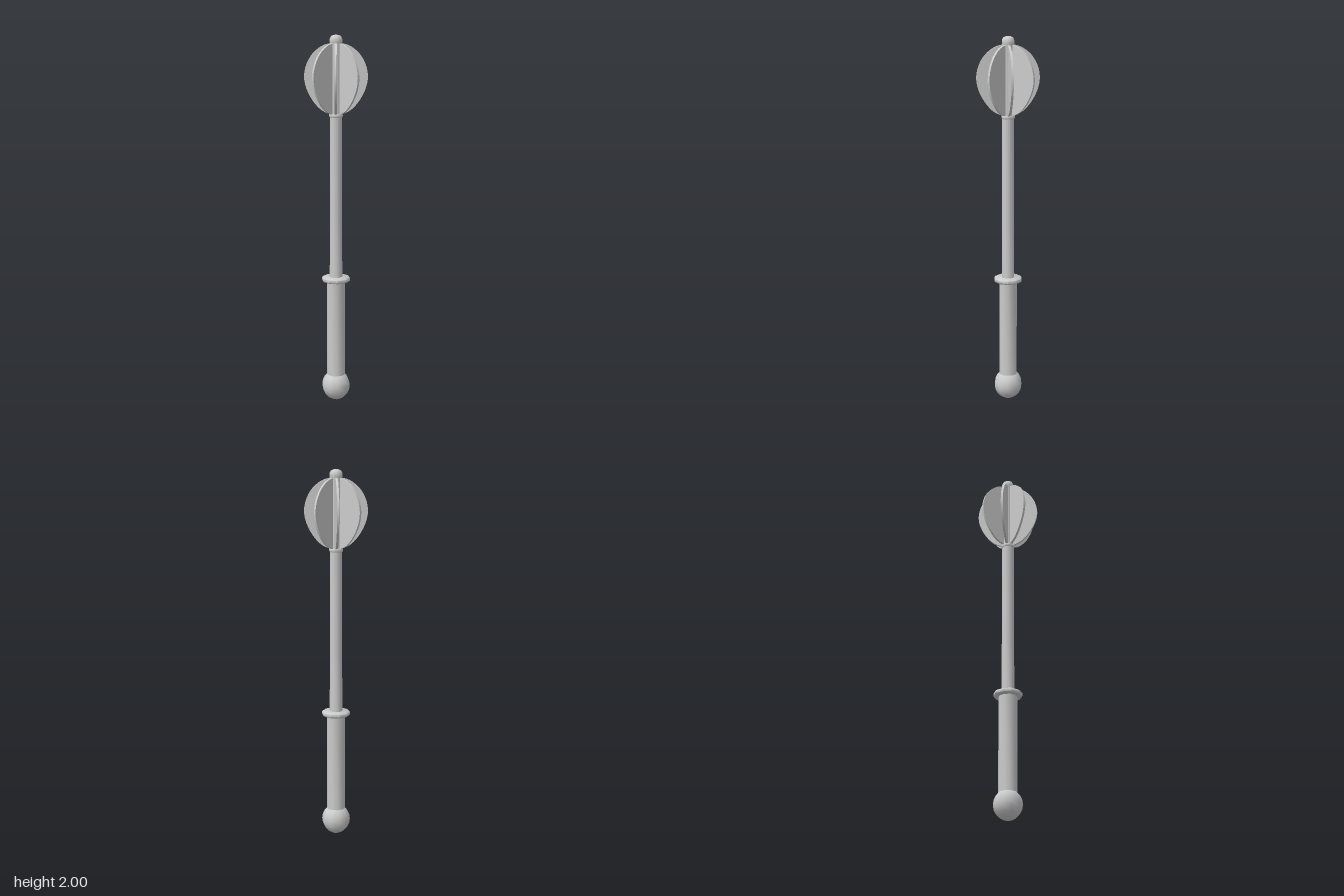
import * as THREE from 'three';
import { toCreasedNormals } from 'three/addons/utils/BufferGeometryUtils.js';

const SIDES = 10;
const FLANGES = 8;

export function createModel() {
  const group = new THREE.Group();
  const material = new THREE.MeshStandardMaterial({ color: 0xcccccc });

  const add = (name, geometry) => {
    const mesh = new THREE.Mesh(toCreasedNormals(geometry, 0.9), material);
    mesh.name = name;
    group.add(mesh);
    return mesh;
  };
  // Turned part from [radius, height] pairs, listed bottom to top
  const turned = (name, profile) => add(name, new THREE.LatheGeometry(
    profile.map(([r, y]) => new THREE.Vector2(r, y)), SIDES, Math.PI / 2));

  // Ball pommel
  const ball = [];
  for (let i = 0; i <= 10; i++) {
    const a = (i / 10) * Math.PI;
    ball.push([Math.max(0, 0.077 * Math.sin(a)), 0.083 - 0.083 * Math.cos(a)]);
  }
  turned('pommel', ball);

  // Handle
  turned('grip', [[0, 0.12], [0.05, 0.12], [0.05, 0.68], [0, 0.68]]);
  turned('guardRing', [[0, 0.673], [0.07, 0.673], [0.077, 0.679], [0.077, 0.693], [0.07, 0.699], [0, 0.699]]);
  turned('shaft', [[0, 0.68], [0.035, 0.68], [0.033, 1.0], [0.033, 1.96], [0, 1.96]]);

  // Head collar and finial
  turned('headCollar', [[0, 1.568], [0.034, 1.568], [0.037, 1.573], [0.037, 1.583], [0.034, 1.588], [0, 1.588]]);
  turned('finial', [[0, 1.945], [0.027, 1.945], [0.034, 1.962], [0.034, 1.98], [0.027, 1.994], [0.014, 2], [0, 2]]);

  // Curved flanges around the head
  const edge = new THREE.SplineCurve([
    [0.03, 1.584], [0.078, 1.607], [0.122, 1.655], [0.156, 1.72], [0.168, 1.785],
    [0.155, 1.85], [0.122, 1.905], [0.075, 1.943], [0.03, 1.957],
  ].map(([x, y]) => new THREE.Vector2(x, y)));
  const outline = new THREE.Shape([
    new THREE.Vector2(0.01, 1.584), ...edge.getPoints(24), new THREE.Vector2(0.01, 1.957),
  ]);
  const thickness = 0.012;
  const blade = new THREE.ExtrudeGeometry(outline, { depth: thickness, bevelEnabled: false });
  blade.translate(0, 0, -thickness / 2);
  for (let i = 0; i < FLANGES; i++) {
    add(`flange${i + 1}`, blade).rotation.y = (i / FLANGES) * Math.PI * 2;
  }

  return group;
}
